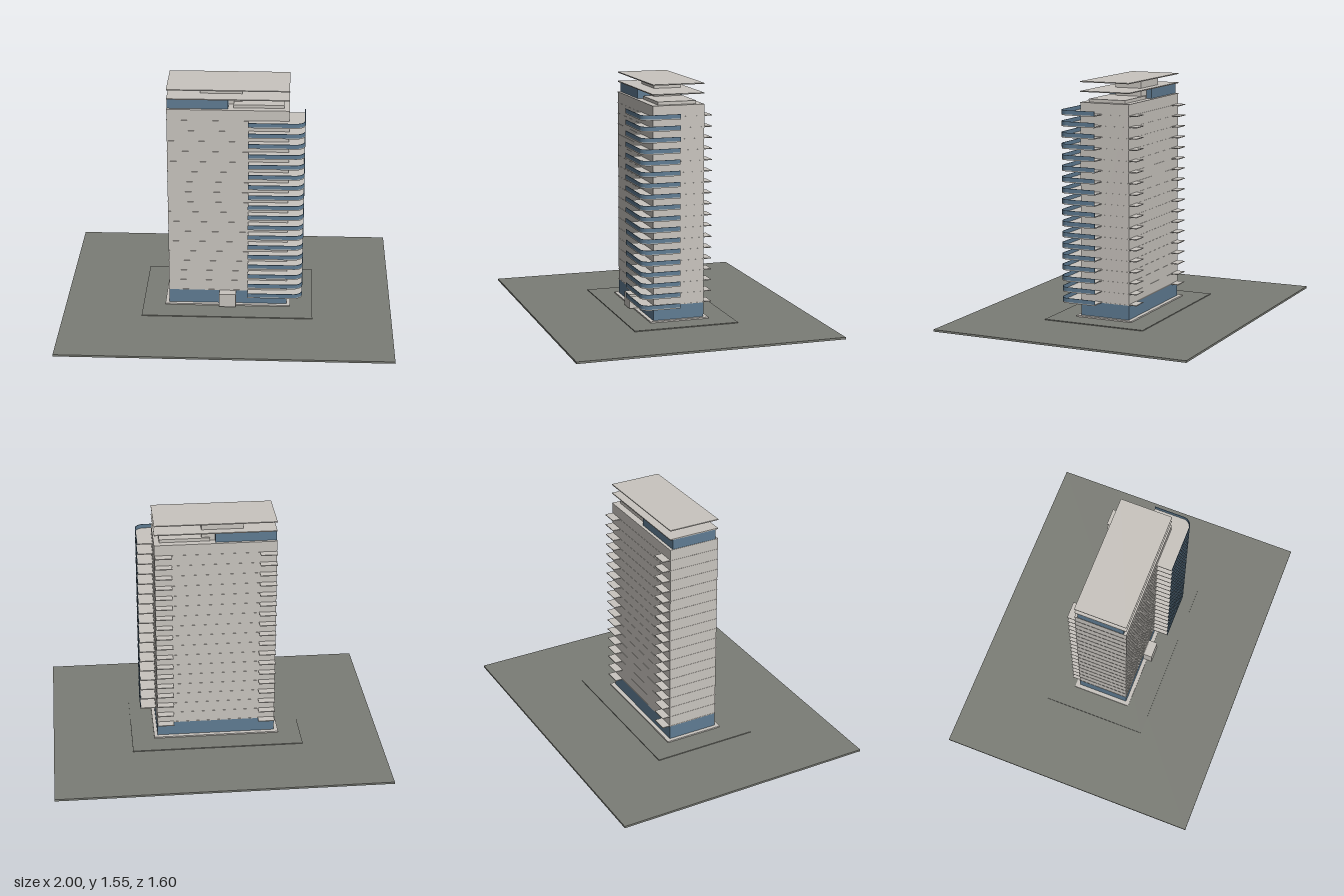
import * as THREE from 'three';

const mat = (name, color) => Object.assign(new THREE.MeshStandardMaterial({ color }), { name });

export function createModel() {
  const concrete = mat('concrete', 0xc9c5bf);
  const glass = mat('blueGlass', 0x5f7c93);
  const paving = mat('paving', 0x7b7d76);
  const model = new THREE.Group();
  model.name = 'apartmentTower';

  const add = (name, geometry, material, parent = model) => {
    const mesh = new THREE.Mesh(geometry, material);
    mesh.name = name;
    parent.add(mesh);
    return mesh;
  };
  // Box given by its limits on each axis
  const box = (name, [x0, x1], [y0, y1], [z0, z1], material, parent) => {
    const mesh = add(name, new THREE.BoxGeometry(x1 - x0, y1 - y0, z1 - z0), material, parent);
    mesh.position.set((x0 + x1) / 2, (y0 + y1) / 2, (z0 + z1) / 2);
    return mesh;
  };
  // Plan outline (x, z) raised to a height, resting on y = 0
  const raise = (shape, height) => new THREE.ExtrudeGeometry(shape, { depth: height, bevelEnabled: false, curveSegments: 8 })
    .rotateX(Math.PI / 2).translate(0, height, 0);

  const X = 0.361, Z = 0.157;          // tower half sizes
  const base = 0.23, top = 1.42, floors = 18;
  const storey = (top - base) / floors;

  // Site and basement
  box('ground', [-1, 1], [0.116, 0.128], [-0.8, 0.8], paving);
  box('forecourt', [-0.52, 0.52], [0.126, 0.133], [-0.32, 0.32], paving);
  box('basement', [-0.385, 0.382], [0, 0.141], [-0.183, 0.18], concrete);

  // Ground floor
  box('lobbyGlazing', [-X, X], [0.141, base], [-Z, Z], glass);
  box('entrancePorch', [-0.052, 0.05], [0.141, base - 0.002], [0.1, 0.212], concrete);

  // Tower shaft
  box('towerWalls', [-X, X], [base, top], [-Z, Z], concrete);

  // Corner balcony: plan of the slab and of its thin curved glass rail
  const bx0 = 0.122, bx1 = 0.456, bz0 = 0.02, bz1 = 0.254, r = 0.055, t = 0.004;
  const slabPlan = new THREE.Shape();
  slabPlan.moveTo(bx0, bz0);
  slabPlan.lineTo(bx1, bz0);
  slabPlan.lineTo(bx1, bz1 - r);
  slabPlan.absarc(bx1 - r, bz1 - r, r, 0, Math.PI / 2, false);
  slabPlan.lineTo(bx0, bz1);
  slabPlan.closePath();
  const railPlan = new THREE.Shape();
  railPlan.moveTo(bx1, bz0);
  railPlan.lineTo(bx1, bz1 - r);
  railPlan.absarc(bx1 - r, bz1 - r, r, 0, Math.PI / 2, false);
  railPlan.lineTo(bx0, bz1);
  railPlan.lineTo(bx0, bz1 - t);
  railPlan.lineTo(bx1 - r, bz1 - t);
  railPlan.absarc(bx1 - r, bz1 - r, r - t, Math.PI / 2, 0, true);
  railPlan.lineTo(bx1 - t, bz0);
  railPlan.closePath();
  const slabGeometry = raise(slabPlan, 0.006);
  const railGeometry = raise(railPlan, 0.024);

  // Repeated storeys
  for (let i = 0; i < floors; i++) {
    const y = base + i * storey;
    const floor = new THREE.Group();
    floor.name = `storey${i + 1}`;
    model.add(floor);
    box('floorEdge', [-X - 0.0015, X + 0.0015], [y - 0.002, y + 0.002], [-Z - 0.0015, Z + 0.0015], concrete, floor);
    add('cornerBalconySlab', slabGeometry, concrete, floor).position.y = y - 0.001;
    add('cornerBalconyRail', railGeometry, glass, floor).position.y = y + 0.005;
    for (const s of [-1, 1]) {
      const xs = [s * 0.26, s * 0.3595].sort((a, b) => a - b);
      box('rearBalconySlab', xs, [y - 0.001, y + 0.004], [-0.206, -Z + 0.01], concrete, floor);
    }
  }

  // Rooftop
  box('roofDeck', [-X - 0.001, X + 0.001], [top - 0.002, top + 0.003], [-Z - 0.001, Z + 0.001], concrete);
  box('penthouseGlazing', [-X + 0.001, 0], [top, 1.484], [-0.14, 0.14], glass);
  box('terracePlinth', [0.032, 0.33], [top, 1.442], [-0.117, 0.117], concrete);
  box('serviceCore', [-0.167, 0.081], [top, 1.543], [-0.105, 0.062], concrete);
  box('lowerRoofSlab', [-X, X], [1.484, 1.49], [-Z, Z], concrete);
  box('upperRoofSlab', [-X, X], [1.541, 1.547], [-Z, Z], concrete);

  return model;
}
